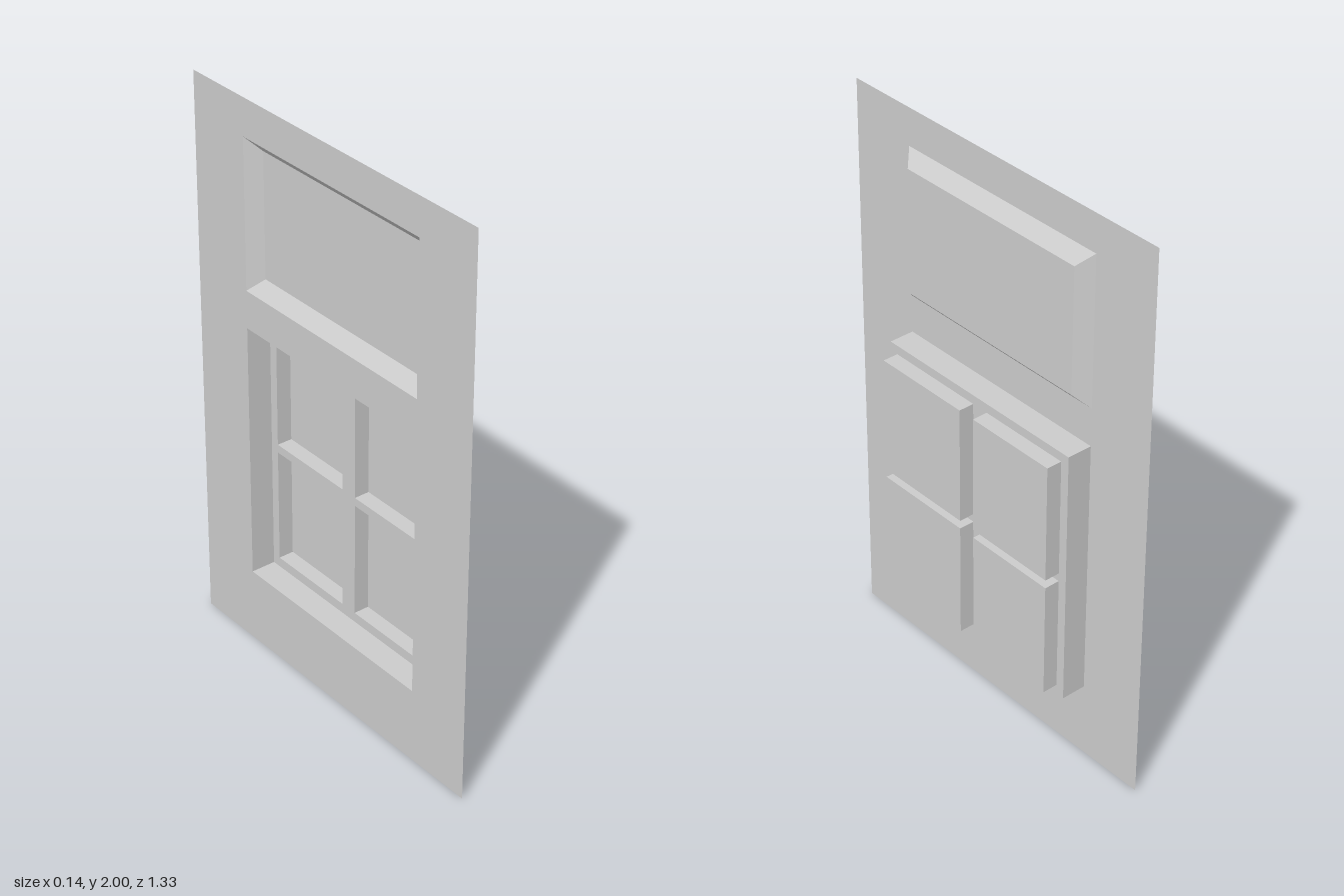
import * as THREE from 'three';

const material = new THREE.MeshStandardMaterial({
  color: 0xcccccc, flatShading: true, side: THREE.DoubleSide,
});

// Depth levels of the pressed sheet along x
const SHEET = -0.072, INSET = -0.029, FRAME = 0.017, PANE = 0.072;

// A rectangle in the plane of the door: z range and y range
const rect = (z0, z1, y0, y1) => ({ z0, z1, y0, y1 });
// Corners as (u, y) with u = -z, counterclockwise seen from +x
const corners = (r) => [[-r.z1, r.y0], [-r.z0, r.y0], [-r.z0, r.y1], [-r.z1, r.y1]];
const points = (r) => corners(r).map(([u, y]) => new THREE.Vector2(u, y));

function add(group, name, geometry) {
  const mesh = new THREE.Mesh(geometry, material);
  mesh.name = name;
  group.add(mesh);
}

// Flat sheet facing +x with rectangular openings
function sheet(r, x, holes = []) {
  const shape = new THREE.Shape(points(r));
  for (const h of holes) shape.holes.push(new THREE.Path(points(h).reverse()));
  return new THREE.ShapeGeometry(shape).rotateY(Math.PI / 2).translate(x, 0, 0);
}

// Four walls joining a rectangle at depth xa to another at depth xb
function walls(ra, xa, rb, xb) {
  const a = corners(ra).map(([u, y]) => [xa, y, -u]);
  const b = corners(rb).map(([u, y]) => [xb, y, -u]);
  const pos = [];
  for (let i = 0; i < 4; i++) {
    const j = (i + 1) % 4;
    pos.push(...a[i], ...a[j], ...b[j], ...a[i], ...b[j], ...b[i]);
  }
  const g = new THREE.BufferGeometry();
  g.setAttribute('position', new THREE.Float32BufferAttribute(pos, 3));
  g.computeVertexNormals();
  return g;
}

export function createModel() {
  const door = new THREE.Group();
  door.name = 'panelDoor';

  const outline = rect(-0.667, 0.667, 0, 2);
  const upper = rect(-0.417, 0.417, 1.337, 1.868);
  const upperInner = rect(-0.373, 0.373, 1.382, 1.823);
  const lower = rect(-0.417, 0.417, 0.27, 1.202);

  // Main sheet, open behind both raised areas
  add(door, 'doorSheet', sheet(outline, SHEET, [upper, lower]));

  // Upper panel with bevelled sides
  add(door, 'upperPanelBevel', walls(upper, SHEET, upperInner, INSET));
  add(door, 'upperPanelFace', sheet(upperInner, INSET));

  // Four raised panes on the lower panel
  const panes = [];
  for (const [z0, z1] of [[-0.385, -0.046], [0.017, 0.385]])
    for (const [y0, y1] of [[0.305, 0.72], [0.75, 1.17]])
      panes.push(rect(z0, z1, y0, y1));

  add(door, 'lowerPanelSides', walls(lower, SHEET, lower, FRAME));
  add(door, 'lowerPanelLattice', sheet(lower, FRAME, panes));
  panes.forEach((p, i) => {
    const pane = new THREE.Group();
    pane.name = `pane${i + 1}`;
    add(pane, 'paneSides', walls(p, FRAME, p, PANE));
    add(pane, 'paneFace', sheet(p, PANE));
    door.add(pane);
  });
  return door;
}
